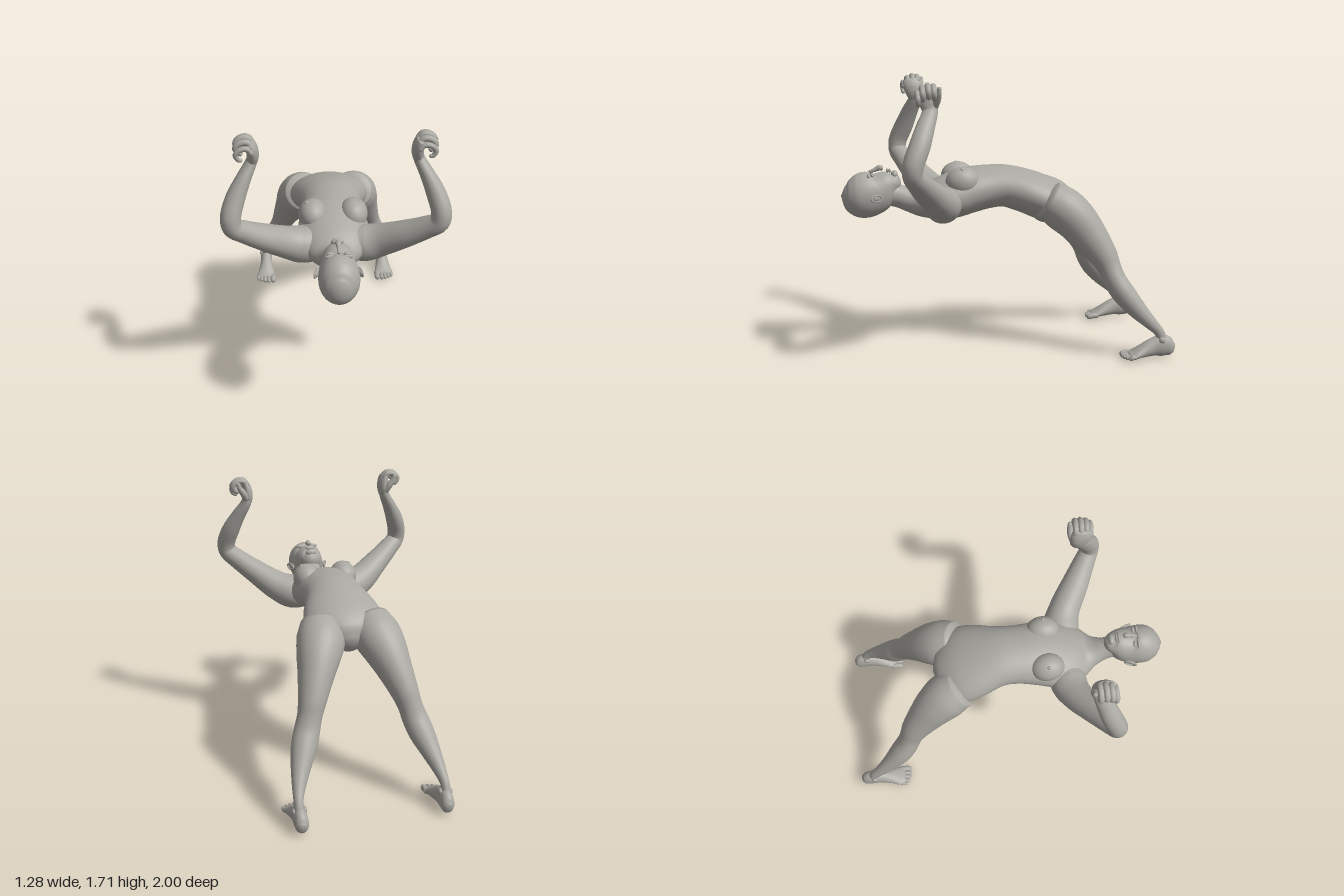
import * as THREE from 'three';

const skin = new THREE.MeshStandardMaterial({ color: 0xaaa8a2 });
skin.name = 'warm grey';

const X = new THREE.Vector3(1, 0, 0);
const Z = new THREE.Vector3(0, 0, 1);

// Smooth closed skin through elliptical sections [x, y, z, radius along ref, radius across]
function loft(sections, { s = 1, ref = X, sides = 28, steps = 5 } = {}) {
  const path = new THREE.CatmullRomCurve3(sections.map(p => new THREE.Vector3(p[0] * s, p[1], p[2])));
  const radii = new THREE.CatmullRomCurve3(
    sections.map((p, i) => new THREE.Vector3(p[3], p[4] ?? p[3], i * 0.05)));
  const rows = (sections.length - 1) * steps;
  const pos = [], index = [];
  for (let i = 0; i <= rows; i++) {
    const t = i / rows;
    const c = path.getPoint(t), T = path.getTangent(t), r = radii.getPoint(t);
    const U = ref.clone().addScaledVector(T, -ref.dot(T)).normalize();
    const V = T.clone().cross(U);
    for (let j = 0; j < sides; j++) {
      const a = (j / sides) * Math.PI * 2;
      const p = c.clone().addScaledVector(U, Math.cos(a) * r.x).addScaledVector(V, Math.sin(a) * r.y);
      pos.push(p.x, p.y, p.z);
      if (i < rows) {
        const k = (j + 1) % sides, n = i * sides;
        index.push(n + j, n + k, n + sides + k, n + j, n + sides + k, n + sides + j);
      }
    }
  }
  // Bulging end caps
  for (const end of [0, 1]) {
    const c = path.getPoint(end), T = path.getTangent(end), r = radii.getPoint(end);
    c.addScaledVector(T, (end ? 0.4 : -0.4) * Math.min(r.x, r.y));
    const pole = pos.length / 3, n = end * rows * sides;
    pos.push(c.x, c.y, c.z);
    for (let j = 0; j < sides; j++) {
      const k = (j + 1) % sides;
      if (end) index.push(pole, n + j, n + k);
      else index.push(pole, n + k, n + j);
    }
  }
  const g = new THREE.BufferGeometry();
  g.setAttribute('position', new THREE.Float32BufferAttribute(pos, 3));
  g.setIndex(index);
  g.computeVertexNormals();
  return g;
}

export function createModel() {
  const model = new THREE.Group();
  model.name = 'archedFigure';

  const add = (name, geometry, parent = model) => {
    const m = new THREE.Mesh(geometry, skin);
    m.name = name;
    parent.add(m);
    return m;
  };
  const blob = (name, [x, y, z], [rx, ry, rz], parent, rot = [0, 0, 0]) => {
    const m = add(name, new THREE.SphereGeometry(1, 24, 16), parent);
    m.position.set(x, y, z);
    m.scale.set(rx, ry, rz);
    m.rotation.set(...rot);
  };

  // Trunk from crotch to neck, belly facing up
  add('torso', loft([
    [0, 0.87, -0.385, 0.06, 0.06],
    [0, 0.905, -0.33, 0.18, 0.12],
    [0, 0.955, -0.24, 0.245, 0.138],
    [0, 1.0, -0.13, 0.23, 0.135],
    [0, 1.035, 0, 0.19, 0.13],
    [0, 1.033, 0.1, 0.185, 0.134],
    [0, 1.015, 0.22, 0.2, 0.142],
    [0, 0.982, 0.33, 0.215, 0.138],
    [0, 0.96, 0.43, 0.2, 0.122],
    [0, 0.95, 0.52, 0.15, 0.09],
    [0, 0.962, 0.58, 0.095, 0.075],
    [0, 0.988, 0.65, 0.067, 0.07],
    [0, 1.01, 0.72, 0.063, 0.075],
    [0, 1.03, 0.77, 0.06, 0.07],
  ], { sides: 40 }));

  // Head tipped right back: chin to crown along z, face up
  const head = new THREE.Group();
  head.name = 'head';
  model.add(head);
  add('skull', loft([
    [0, 1.11, 0.66, 0.03, 0.025],
    [0, 1.09, 0.68, 0.058, 0.058],
    [0, 1.068, 0.72, 0.083, 0.085],
    [0, 1.025, 0.78, 0.103, 0.127],
    [0, 1.004, 0.85, 0.114, 0.141],
    [0, 0.998, 0.91, 0.109, 0.131],
    [0, 0.998, 0.96, 0.08, 0.096],
    [0, 1, 0.985, 0.045, 0.055],
  ], { sides: 40 }), head);
  add('nose', loft([
    [0, 1.145, 0.83, 0.009, 0.008],
    [0, 1.158, 0.79, 0.011, 0.014],
    [0, 1.168, 0.765, 0.017, 0.018],
    [0, 1.16, 0.75, 0.013, 0.012],
  ], { sides: 16 }), head);
  blob('upperLip', [0, 1.15, 0.72], [0.034, 0.012, 0.008], head);
  blob('lowerLip', [0, 1.147, 0.706], [0.029, 0.012, 0.008], head);
  blob('chin', [0, 1.125, 0.678], [0.035, 0.024, 0.021], head);

  for (const [side, s] of [['left', 1], ['right', -1]]) {
    blob(side + 'Eye', [s * 0.046, 1.13, 0.815], [0.021, 0.012, 0.01], head);
    blob(side + 'Brow', [s * 0.046, 1.125, 0.838], [0.032, 0.013, 0.009], head);

    // Ear with raised rim
    blob(side + 'Ear', [s * 0.113, 1.0, 0.79], [0.009, 0.02, 0.034], head, [0, s * 0.35, 0]);
    const rim = add(side + 'EarRim', new THREE.TorusGeometry(0.024, 0.006, 8, 24), head);
    rim.position.set(s * 0.121, 0.998, 0.793);
    rim.rotation.y = Math.PI / 2 + s * 0.35;
    rim.scale.set(1.4, 0.85, 1);

    // Chest and seat
    blob(side + 'Breast', [s * 0.12, 1.085, 0.275], [0.085, 0.092, 0.105]);
    blob(side + 'Nipple', [s * 0.155, 1.163, 0.28], [0.013, 0.013, 0.013]);
    blob(side + 'Buttock', [s * 0.11, 0.91, -0.245], [0.105, 0.095, 0.1]);

    // Arm: shoulder, sharp elbow, raised forearm
    add(side + 'Arm', loft([
      [0.09, 0.955, 0.4, 0.1, 0.1],
      [0.19, 0.958, 0.405, 0.112, 0.11],
      [0.28, 0.992, 0.435, 0.098, 0.095],
      [0.41, 1.075, 0.515, 0.084, 0.076],
      [0.51, 1.145, 0.575, 0.068, 0.064],
      [0.575, 1.2, 0.615, 0.058, 0.058],
      [0.583, 1.26, 0.612, 0.06, 0.058],
      [0.553, 1.36, 0.573, 0.06, 0.055],
      [0.505, 1.46, 0.535, 0.053, 0.042],
      [0.46, 1.545, 0.502, 0.044, 0.032],
      [0.453, 1.58, 0.503, 0.046, 0.03],
    ], { s, ref: Z }));

    // Half-closed hand, fingers curling outward
    const hand = new THREE.Group();
    hand.name = side + 'Hand';
    model.add(hand);
    add('palm', loft([
      [0.455, 1.55, 0.502, 0.042, 0.031],
      [0.45, 1.59, 0.508, 0.055, 0.034],
      [0.452, 1.635, 0.518, 0.06, 0.03],
      [0.463, 1.672, 0.524, 0.055, 0.022],
    ], { s, ref: Z }), hand);
    [[0.574, 1.65], [0.547, 1.677], [0.516, 1.69], [0.485, 1.685]].forEach(([z, y], i) => {
      const r = i ? 0.0175 : 0.015;
      add('finger' + (i + 1), loft([
        [0.452, y - 0.03, z, r], [0.475, y, z, r], [0.515, y - 0.003, z + 0.002, r],
        [0.54, y - 0.03, z + 0.002, r], [0.528, y - 0.058, z, r * 0.9], [0.507, y - 0.066, z, r * 0.7],
      ], { s, ref: Z, sides: 12, steps: 4 }), hand);
    });
    add('thumb', loft([
      [0.458, 1.575, 0.475, 0.022], [0.482, 1.615, 0.462, 0.021],
      [0.505, 1.65, 0.457, 0.016], [0.515, 1.682, 0.455, 0.011],
    ], { s, ref: Z, sides: 12 }), hand);

    // Leg: hip, bent knee, calf, narrow ankle
    add(side + 'Leg', loft([
      [0.15, 0.965, -0.25, 0.125, 0.12],
      [0.17, 0.91, -0.335, 0.145, 0.138],
      [0.2, 0.845, -0.41, 0.134, 0.132],
      [0.24, 0.74, -0.495, 0.106, 0.113],
      [0.28, 0.625, -0.573, 0.083, 0.088],
      [0.303, 0.55, -0.607, 0.073, 0.073],
      [0.325, 0.48, -0.635, 0.076, 0.071],
      [0.355, 0.4, -0.685, 0.076, 0.072],
      [0.392, 0.305, -0.762, 0.057, 0.058],
      [0.42, 0.225, -0.838, 0.038, 0.041],
      [0.434, 0.165, -0.893, 0.027, 0.031],
      [0.434, 0.11, -0.915, 0.03, 0.034],
    ], { s }));

    // Foot from heel to ball, then toes
    const foot = new THREE.Group();
    foot.name = side + 'Foot';
    model.add(foot);
    add('instep', loft([
      [0.43, 0.055, -0.99, 0.022, 0.03],
      [0.43, 0.06, -0.97, 0.038, 0.05],
      [0.431, 0.077, -0.92, 0.042, 0.07],
      [0.43, 0.071, -0.86, 0.042, 0.058],
      [0.43, 0.049, -0.79, 0.052, 0.04],
      [0.432, 0.031, -0.735, 0.064, 0.024],
      [0.433, 0.024, -0.705, 0.06, 0.017],
    ], { s }), foot);
    blob('innerAnkle', [s * 0.402, 0.125, -0.905], [0.014, 0.02, 0.02], foot);
    blob('outerAnkle', [s * 0.463, 0.12, -0.905], [0.014, 0.02, 0.02], foot);
    [[0.383, -0.66, 0.019], [0.414, -0.656, 0.0145], [0.44, -0.662, 0.0135],
      [0.464, -0.673, 0.013], [0.486, -0.688, 0.0125]].forEach(([x, z, r], i) => {
      add('toe' + (i + 1), loft([
        [x, 0.026, -0.735, r], [x, 0.026, -0.705, r], [x, 0.021, z - 0.02, r],
        [x, 0.019, z - 0.004, r * 0.75],
      ], { s, sides: 12 }), foot);
    });
  }
  return model;
}
